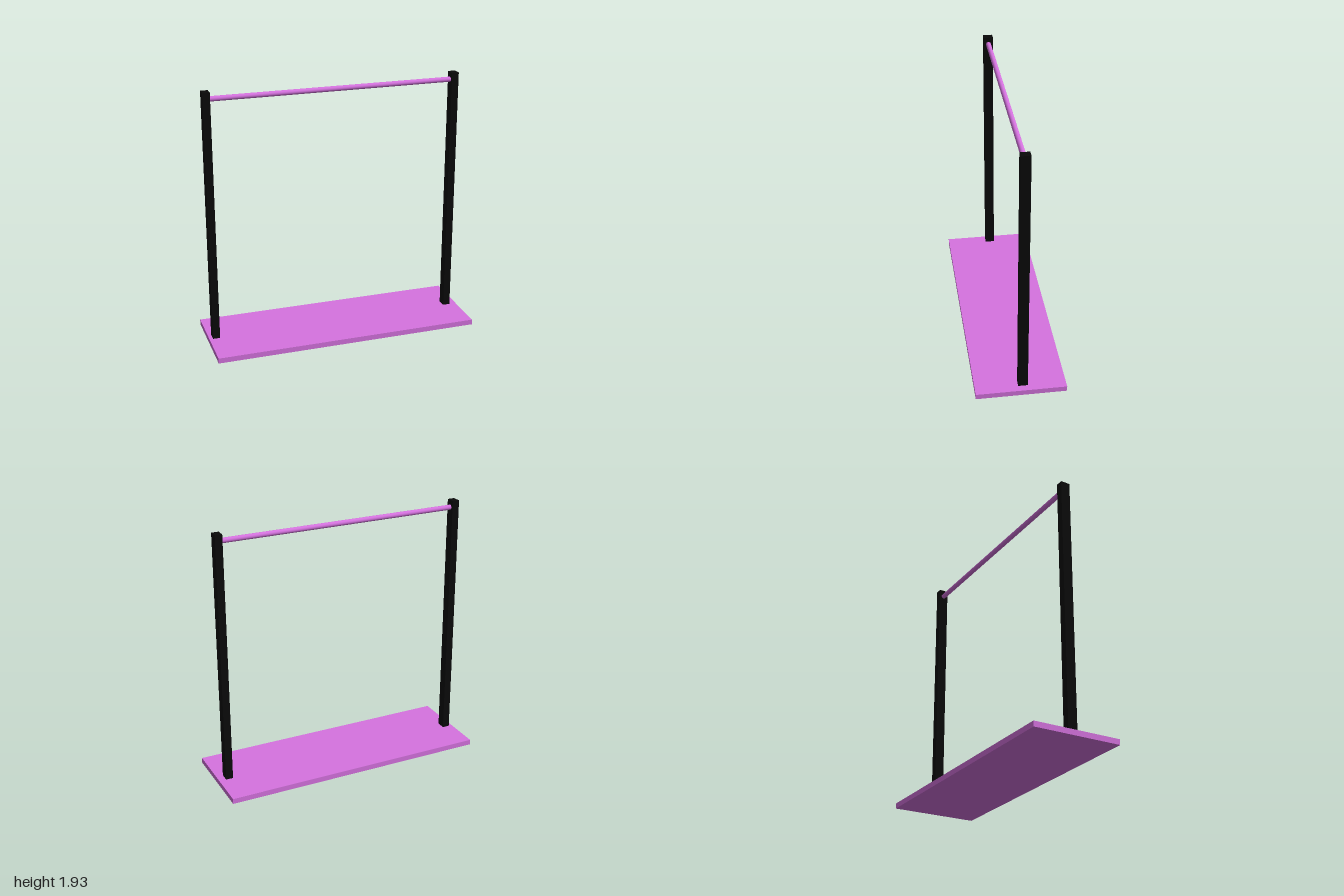
import * as THREE from 'three';

const pink = new THREE.MeshStandardMaterial({ color: 0xd673e0 });
const black = new THREE.MeshStandardMaterial({ color: 0x0a0a0a });

export function createModel() {
  const model = new THREE.Group();
  model.name = 'barStand';

  const add = (name, geometry, material, x, y, z) => {
    const mesh = new THREE.Mesh(geometry, material);
    mesh.name = name;
    mesh.position.set(x, y, z);
    model.add(mesh);
    return mesh;
  };

  // Flat base board
  const baseHeight = 0.04;
  add('base', new THREE.BoxGeometry(2, baseHeight, 0.66), pink, 0, baseHeight / 2, 0);

  // Two square posts, set slightly right of and behind the board's centre
  const centreX = -0.013, centreZ = -0.018, halfSpan = 0.933;
  const postWidth = 0.054, postHeight = 1.886;
  const postGeometry = new THREE.BoxGeometry(postWidth, postHeight, 0.07);
  for (const [name, side] of [['leftPost', 1], ['rightPost', -1]]) {
    add(name, postGeometry, black, centreX + side * halfSpan, baseHeight + postHeight / 2, centreZ);
  }

  // Round crossbar between the inner faces of the posts
  const barLength = 2 * halfSpan - postWidth;
  const bar = add('crossbar', new THREE.CylinderGeometry(0.019, 0.019, barLength, 32), pink, centreX, 1.872, centreZ);
  bar.rotation.z = Math.PI / 2;

  return model;
}
